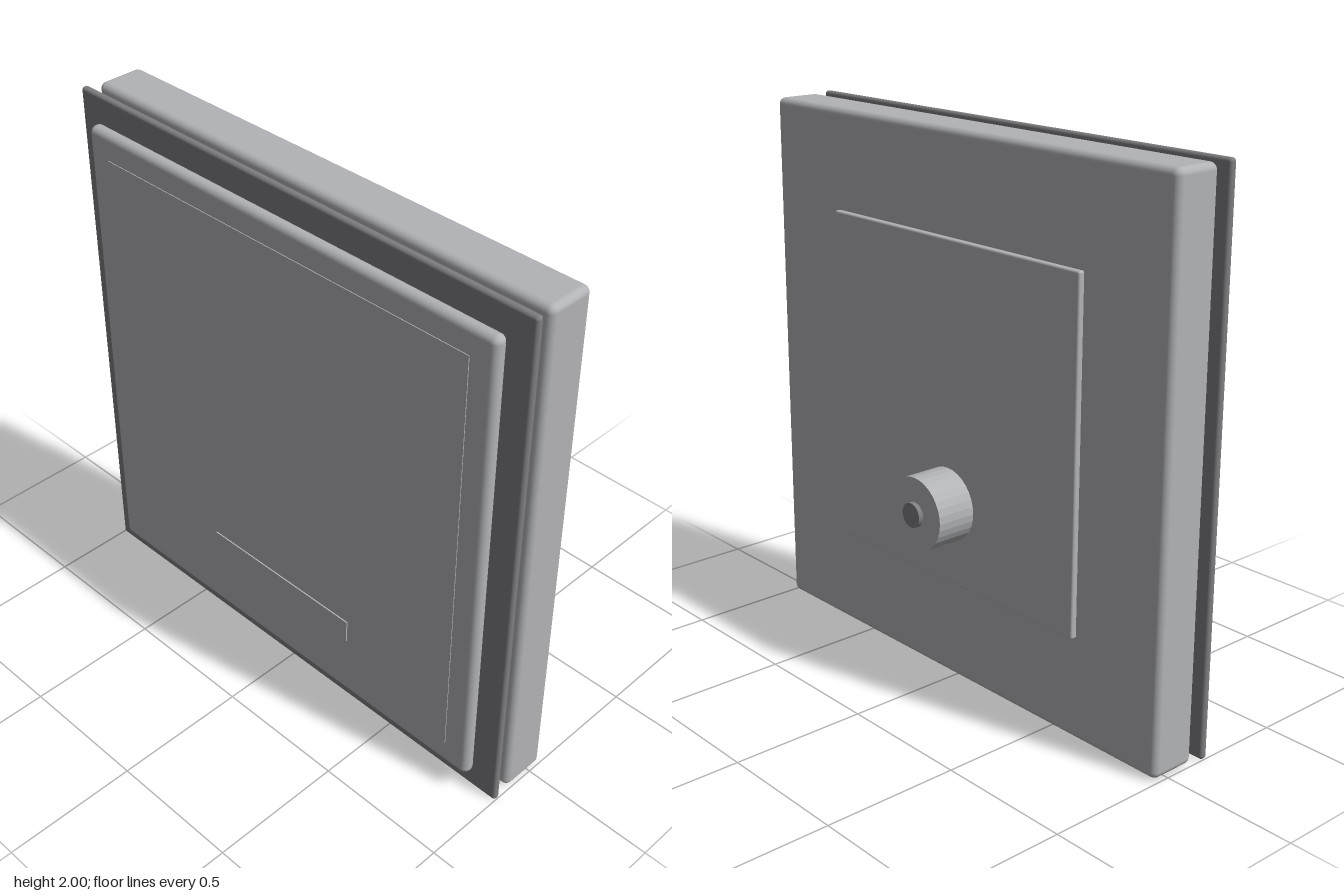
import * as THREE from 'three';
import { RoundedBoxGeometry } from 'three/addons/geometries/RoundedBoxGeometry.js';

export function createModel() {
  const model = new THREE.Group();
  model.name = 'wallPanel';

  const lightGrey = new THREE.MeshStandardMaterial({ color: 0xb2b3b6 });
  lightGrey.name = 'lightGrey';
  const darkGrey = new THREE.MeshStandardMaterial({ color: 0x7e7e82 });
  darkGrey.name = 'darkGrey';

  const add = (name, geometry, material, x, y, z) => {
    const mesh = new THREE.Mesh(geometry, material);
    mesh.name = name;
    mesh.position.set(x, y, z);
    model.add(mesh);
  };

  // Rounded slab spanning z0..z1
  const slab = (name, material, w, h, y, z0, z1, radius) =>
    add(name, new RoundedBoxGeometry(w, h, z1 - z0, 4, radius), material, 0, y, (z0 + z1) / 2);

  // Faceted cylinder lying along z
  const disc = (name, material, radius, y, z0, z1) => {
    const g = new THREE.CylinderGeometry(radius, radius, z1 - z0, 32).rotateX(Math.PI / 2).toNonIndexed();
    g.computeVertexNormals();
    add(name, g, material, 0, y, (z0 + z1) / 2);
  };

  // Main body and the dark backing sheet floating in front of it
  slab('body', lightGrey, 1.99, 1.99, 1, -0.06, 0.12, 0.025);
  slab('backingSheet', darkGrey, 2, 2, 1, 0.162, 0.19, 0.012);

  // Front cushion with a thin face sheet and a low label plate
  slab('frontPanel', lightGrey, 1.815, 1.815, 1, 0.19, 0.243, 0.025);
  add('frontFace', new THREE.BoxGeometry(1.62, 1.62, 0.008), lightGrey, 0, 1, 0.242);
  add('labelPlate', new THREE.BoxGeometry(0.68, 0.09, 0.009), lightGrey, 0, 0.395, 0.2465);

  // Rear mounting plate, knob and its pin
  slab('rearPlate', lightGrey, 1.25, 1.25, 1.005, -0.082, -0.055, 0.008);
  disc('knob', lightGrey, 0.134, 0.68, -0.233, -0.08);
  disc('knobPin', darkGrey, 0.045, 0.68, -0.251, -0.23);

  return model;
}
